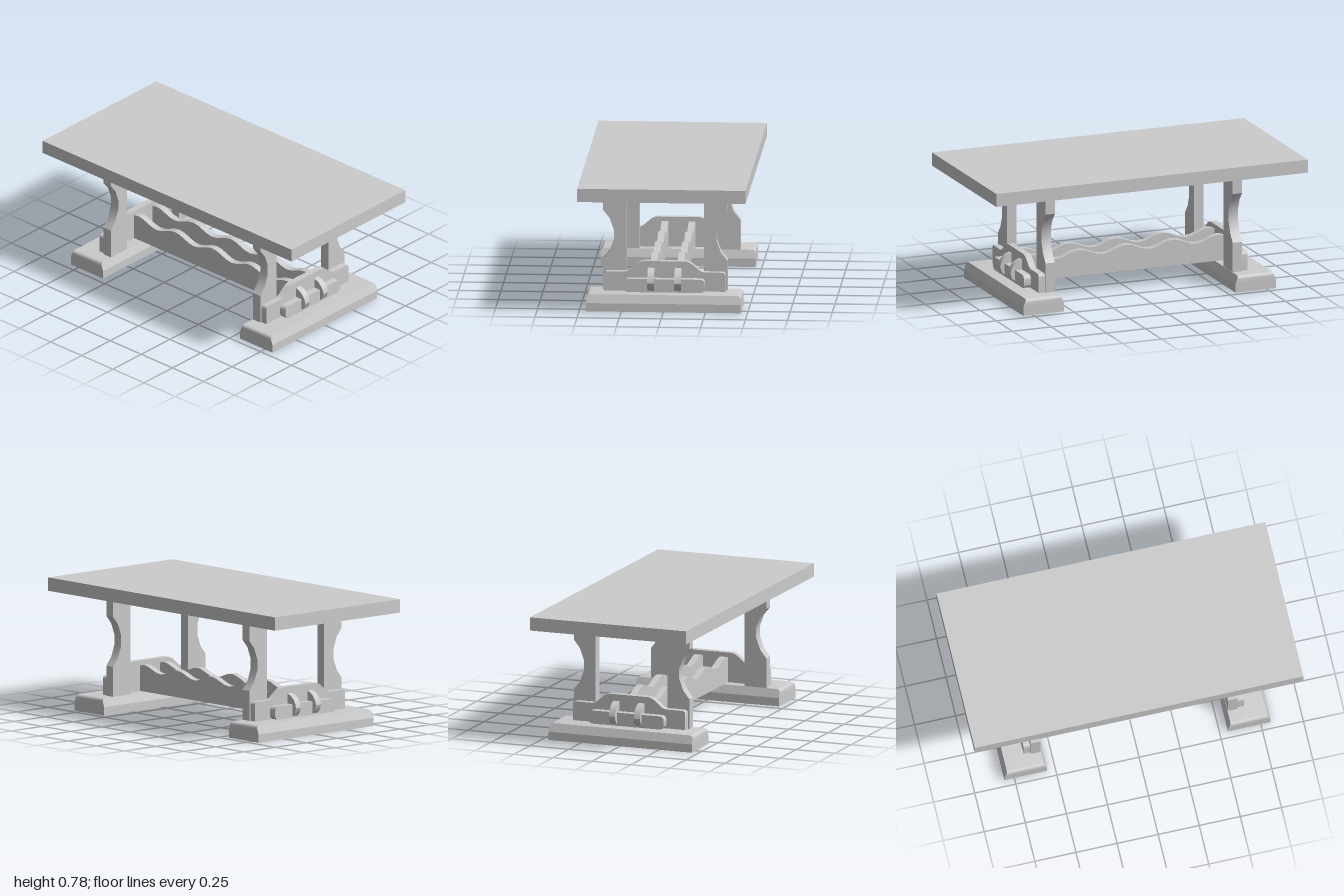
import * as THREE from 'three';
import { toCreasedNormals } from 'three/addons/utils/BufferGeometryUtils.js';

const material = new THREE.MeshStandardMaterial({ color: 0xcccccc });

function add(parent, name, geometry) {
  const mesh = new THREE.Mesh(geometry, material);
  mesh.name = name;
  parent.add(mesh);
  return mesh;
}

function box(w, h, d, x, y, z) {
  return new THREE.BoxGeometry(w, h, d).translate(x, y, z);
}

// Outline in x/y, cut as a board from z0 to z1
function board(points, z0, z1) {
  const shape = new THREE.Shape(points.map(([x, y]) => new THREE.Vector2(x, y)));
  const geometry = new THREE.ExtrudeGeometry(shape, { depth: z1 - z0, bevelEnabled: false });
  return geometry.translate(0, 0, z0);
}

const smooth = (geometry) => toCreasedNormals(geometry, 0.55);

// Complete a right-hand half outline (bottom to top) with its mirror image
const mirrored = (half) => [...half, ...half.map(([x, y]) => [-x, y]).reverse()];

// Quarter-round corner points
function corner(cx, cy, r, start, steps = 4) {
  return Array.from({ length: steps + 1 }, (_, i) => {
    const a = start + (i / steps) * Math.PI / 2;
    return [cx + r * Math.cos(a), cy + r * Math.sin(a)];
  });
}

// Upper half of a foot: rounded ends, sides leaning inwards
function footCap() {
  const geometry = board(mirrored([[0.46, 0.05], ...corner(0.44, 0.08, 0.02, 0)]), -0.13, 0.13);
  const p = geometry.attributes.position;
  for (let i = 0; i < p.count; i++) {
    const t = (p.getY(i) - 0.05) / 0.05;
    p.setZ(i, p.getZ(i) * (1 - 0.14 * t));
  }
  return smooth(geometry).translate(0, 0, 0.68);
}

function trestle() {
  const group = new THREE.Group();
  add(group, 'footBase', box(0.92, 0.05, 0.26, 0, 0.025, 0.68));
  add(group, 'footCap', footCap());

  // Legs with a scooped outer edge
  const leg = [[0.23, 0.1], [0.37, 0.1], [0.37, 0.28], [0.33, 0.33], [0.305, 0.4],
    [0.305, 0.46], [0.33, 0.53], [0.37, 0.58], [0.37, 0.7], [0.23, 0.7]];
  add(group, 'leftLeg', smooth(board(leg, 0.57, 0.63)));
  add(group, 'rightLeg', smooth(board(leg.map(([x, y]) => [-x, y]).reverse(), 0.57, 0.63)));

  // Shaped cross panel on the outer face of the legs
  const panel = mirrored([[0.36, 0.1], ...corner(0.342, 0.197, 0.018, 0), [0.235, 0.215],
    [0.213, 0.222], [0.165, 0.262], [0.15, 0.272], [0.125, 0.28]]);
  add(group, 'crossPanel', smooth(board(panel, 0.63, 0.67)));

  // Locking bar across the tenons
  const bar = mirrored([...corner(0.215, 0.125, 0.025, -Math.PI / 2), ...corner(0.215, 0.155, 0.025, 0)]);
  add(group, 'lockingBar', smooth(board(bar, 0.67, 0.715)));
  return group;
}

// Long rail: wavy top edge, rounded tenons at both ends
function stretcher(x) {
  const half = [[0.65, 0.1], [0.65, 0.11], [0.715, 0.11], [0.734, 0.13], [0.744, 0.16],
    [0.738, 0.185], [0.722, 0.21], [0.7, 0.228], [0.67, 0.24]];
  const steps = 32;
  const wave = Array.from({ length: steps + 1 }, (_, i) => {
    const z = 0.6 - 1.2 * i / steps;
    return [z, 0.24 + 0.02 * Math.cos(z * Math.PI * 2 / 0.3)];
  });
  const outline = [...half, ...wave, ...half.map(([z, y]) => [-z, y]).reverse()];
  return smooth(board(outline, -0.02, 0.02).rotateY(-Math.PI / 2)).translate(x, 0, 0);
}

export function createModel() {
  const table = new THREE.Group();
  table.name = 'trestleTable';
  add(table, 'tableTop', box(1, 0.08, 2, 0, 0.74, 0));

  const front = trestle();
  front.name = 'frontTrestle';
  const back = trestle();
  back.name = 'backTrestle';
  back.rotation.y = Math.PI;
  table.add(front, back);

  add(table, 'leftStretcher', stretcher(0.08));
  add(table, 'rightStretcher', stretcher(-0.08));
  return table;
}
